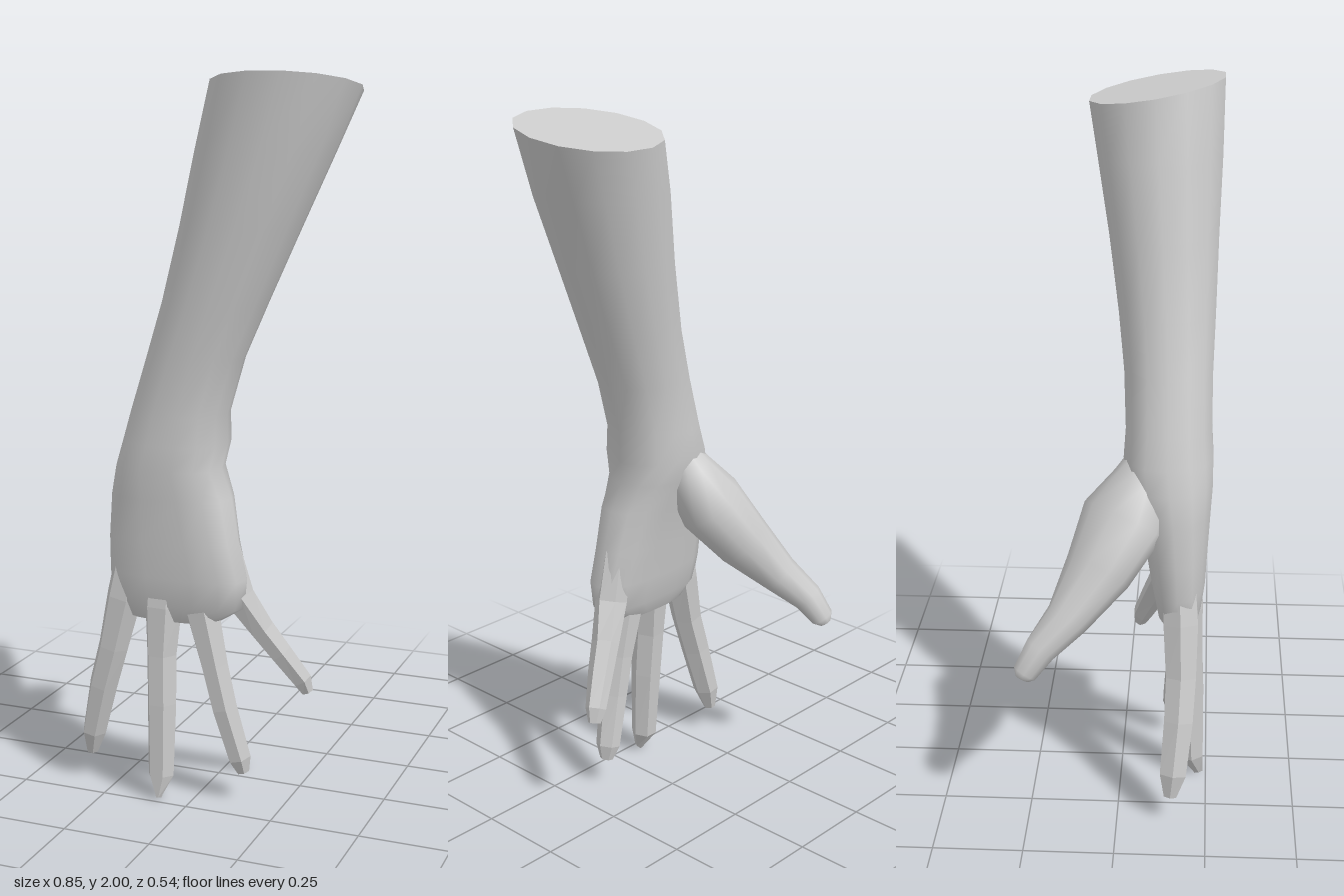
import * as THREE from 'three';

const V = (x, y, z) => new THREE.Vector3(x, y, z);
const power = (n, e) => Math.sign(n) * Math.abs(n) ** e;

// Skin a row of cross-sections (each a loop of points) and close both ends.
function skin(rings, flat) {
  const n = rings[0].length, pos = [], idx = [];
  rings.forEach(r => r.forEach(p => pos.push(p.x, p.y, p.z)));
  for (let i = 0; i < rings.length - 1; i++) {
    for (let j = 0; j < n; j++) {
      const k = (j + 1) % n;
      const a = i * n + j, b = i * n + k, c = b + n, d = a + n;
      idx.push(a, b, c, a, c, d);
    }
  }
  // End caps have their own vertices so that their rims stay sharp
  for (const [ring, last] of [[rings[0], false], [rings[rings.length - 1], true]]) {
    const s = pos.length / 3;
    ring.forEach(p => pos.push(p.x, p.y, p.z));
    for (let j = 1; j < n - 1; j++) {
      if (last) idx.push(s, s + j, s + j + 1);
      else idx.push(s, s + j + 1, s + j);
    }
  }
  let g = new THREE.BufferGeometry();
  g.setAttribute('position', new THREE.Float32BufferAttribute(pos, 3));
  g.setIndex(idx);
  if (flat) g = g.toNonIndexed();
  g.computeVertexNormals();
  return g;
}

// Oval sections along a path; each station is [x, y, z, halfWidth, halfDepth].
function limb(stations, ref, sides, flat) {
  const pts = stations.map(s => V(s[0], s[1], s[2]));
  const rings = stations.map(([, , , w, d], i) => {
    const t = pts[Math.min(i + 1, pts.length - 1)].clone().sub(pts[Math.max(i - 1, 0)]).normalize();
    const u = t.clone().cross(ref).normalize();
    const v = t.clone().cross(u);
    return Array.from({ length: sides }, (_, j) => {
      const a = (j / sides) * Math.PI * 2;
      return pts[i].clone().addScaledVector(u, w * Math.cos(a)).addScaledVector(v, d * Math.sin(a));
    });
  });
  return skin(rings, flat);
}

// Level sections from the cut forearm down to the knuckles:
// [y, xMin, xMax, zMin, zMax, roundness]
function forearmAndPalm() {
  const levels = [
    [2.0, 0.02, 0.425, -0.105, 0.27, 1],
    [1.8, -0.02, 0.36, -0.08, 0.267, 1],
    [1.6, -0.06, 0.272, -0.045, 0.26, 1],
    [1.4, -0.107, 0.185, -0.015, 0.255, 1],
    [1.25, -0.15, 0.12, 0.003, 0.25, 0.95],
    [1.1, -0.195, 0.077, 0.01, 0.25, 0.9],
    [1.02, -0.217, 0.078, 0.005, 0.255, 0.85],
    [0.95, -0.235, 0.063, 0.02, 0.255, 0.8],
    [0.87, -0.25, 0.097, 0.045, 0.25, 0.8],
    [0.75, -0.257, 0.12, 0.07, 0.243, 0.75],
    [0.65, -0.257, 0.147, 0.085, 0.238, 0.75],
    [0.57, -0.245, 0.14, 0.1, 0.228, 0.75],
    [0.52, -0.2, 0.06, 0.125, 0.205, 0.8],
  ];
  const sides = 14;
  const rings = levels.map(([y, x0, x1, z0, z1, e], i) =>
    Array.from({ length: sides }, (_, j) => {
      const a = (j / sides) * Math.PI * 2;
      const x = (x0 + x1) / 2 - ((x1 - x0) / 2) * power(Math.cos(a), e);
      const z = (z0 + z1) / 2 - ((z1 - z0) / 2) * power(Math.sin(a), e);
      // The cut end slopes down towards the back
      return V(x, i === 0 ? y - 0.18 * (z1 - z) : y, z);
    }));
  return skin(rings, false);
}

export function createModel() {
  const group = new THREE.Group();
  const smooth = new THREE.MeshStandardMaterial({ color: 0xcccccc });
  const add = (name, geometry) => {
    const mesh = new THREE.Mesh(geometry, smooth);
    mesh.name = name;
    group.add(mesh);
  };

  add('forearmAndPalm', forearmAndPalm());

  // Thumb with the fleshy mound at its base
  add('thumb', limb([
    [-0.09, 1.06, 0.09, 0.04, 0.04],
    [-0.125, 0.96, 0.06, 0.085, 0.075],
    [-0.17, 0.86, 0.01, 0.13, 0.1],
    [-0.245, 0.74, -0.055, 0.1, 0.085],
    [-0.32, 0.63, -0.135, 0.064, 0.058],
    [-0.368, 0.56, -0.205, 0.046, 0.045],
    [-0.39, 0.5, -0.245, 0.037, 0.034],
    [-0.395, 0.485, -0.252, 0.022, 0.02],
  ], V(0, 1, 0), 10, false));

  // Faceted fingers, each from inside the palm to a narrow tip
  const fingers = {
    indexFinger: [
      [-0.185, 0.72, 0.165, 0.05, 0.05],
      [-0.215, 0.57, 0.172, 0.052, 0.055],
      [-0.25, 0.42, 0.175, 0.044, 0.048],
      [-0.285, 0.3, 0.17, 0.042, 0.046],
      [-0.322, 0.15, 0.157, 0.035, 0.042],
      [-0.333, 0.082, 0.15, 0.016, 0.02],
    ],
    middleFinger: [
      [-0.088, 0.72, 0.17, 0.05, 0.05],
      [-0.092, 0.56, 0.182, 0.055, 0.058],
      [-0.095, 0.42, 0.19, 0.044, 0.05],
      [-0.092, 0.28, 0.198, 0.043, 0.047],
      [-0.092, 0.07, 0.208, 0.038, 0.038],
      [-0.09, 0.008, 0.23, 0.006, 0.014],
    ],
    ringFinger: [
      [0.0, 0.72, 0.165, 0.045, 0.05],
      [0.018, 0.56, 0.172, 0.05, 0.054],
      [0.055, 0.4, 0.17, 0.04, 0.046],
      [0.082, 0.28, 0.165, 0.038, 0.044],
      [0.122, 0.13, 0.15, 0.034, 0.037],
      [0.132, 0.088, 0.147, 0.018, 0.02],
    ],
    littleFinger: [
      [0.075, 0.75, 0.15, 0.042, 0.045],
      [0.11, 0.6, 0.14, 0.05, 0.045],
      [0.17, 0.5, 0.105, 0.037, 0.042],
      [0.215, 0.43, 0.08, 0.034, 0.038],
      [0.268, 0.345, 0.048, 0.03, 0.03],
      [0.282, 0.308, 0.04, 0.018, 0.018],
    ],
  };
  for (const [name, stations] of Object.entries(fingers)) {
    add(name, limb(stations, V(0, 0, 1), 6, true));
  }

  return group;
}
